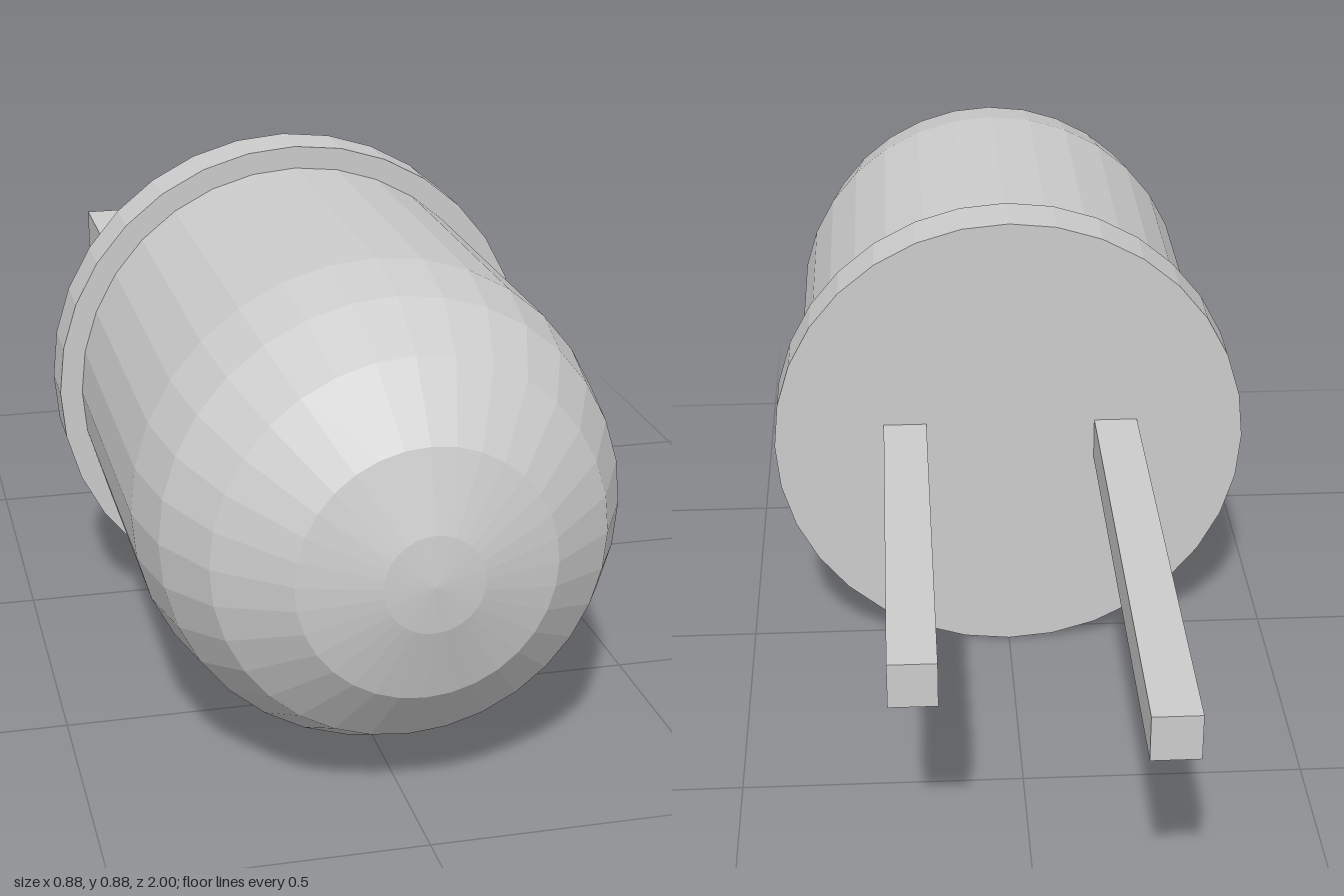
import * as THREE from 'three';

const SIDES = 32;
const AXIS_Y = 0.44;

export function createModel() {
  const group = new THREE.Group();
  const grey = new THREE.MeshStandardMaterial({ color: 0xcccccc, flatShading: true });
  grey.name = 'grey';

  const add = (name, geometry, x, y, z) => {
    const mesh = new THREE.Mesh(geometry, grey);
    mesh.name = name;
    mesh.position.set(x, y, z);
    group.add(mesh);
  };

  // Domed lens: radius and distance along the axis
  const profile = [
    [0.4, 0.06], [0.4, 0.63], [0.377, 0.757], [0.318, 0.866],
    [0.207, 0.955], [0.08, 0.992], [0, 1],
  ].map(([r, z]) => new THREE.Vector2(r, z));
  add('lens', new THREE.LatheGeometry(profile, SIDES).rotateX(Math.PI / 2), 0, AXIS_Y, 0);

  // Wider rim closing the back of the lens
  add('flange', new THREE.CylinderGeometry(0.44, 0.44, 0.1, SIDES).rotateX(Math.PI / 2), 0, AXIS_Y, 0.01);

  // Two square legs of unequal length
  for (const [name, x, end] of [['longLeg', -0.2, -1], ['shortLeg', 0.195, -0.84]]) {
    const length = -0.04 - end;
    add(name, new THREE.BoxGeometry(0.08, 0.08, length), x, AXIS_Y, end + length / 2);
  }

  return group;
}
